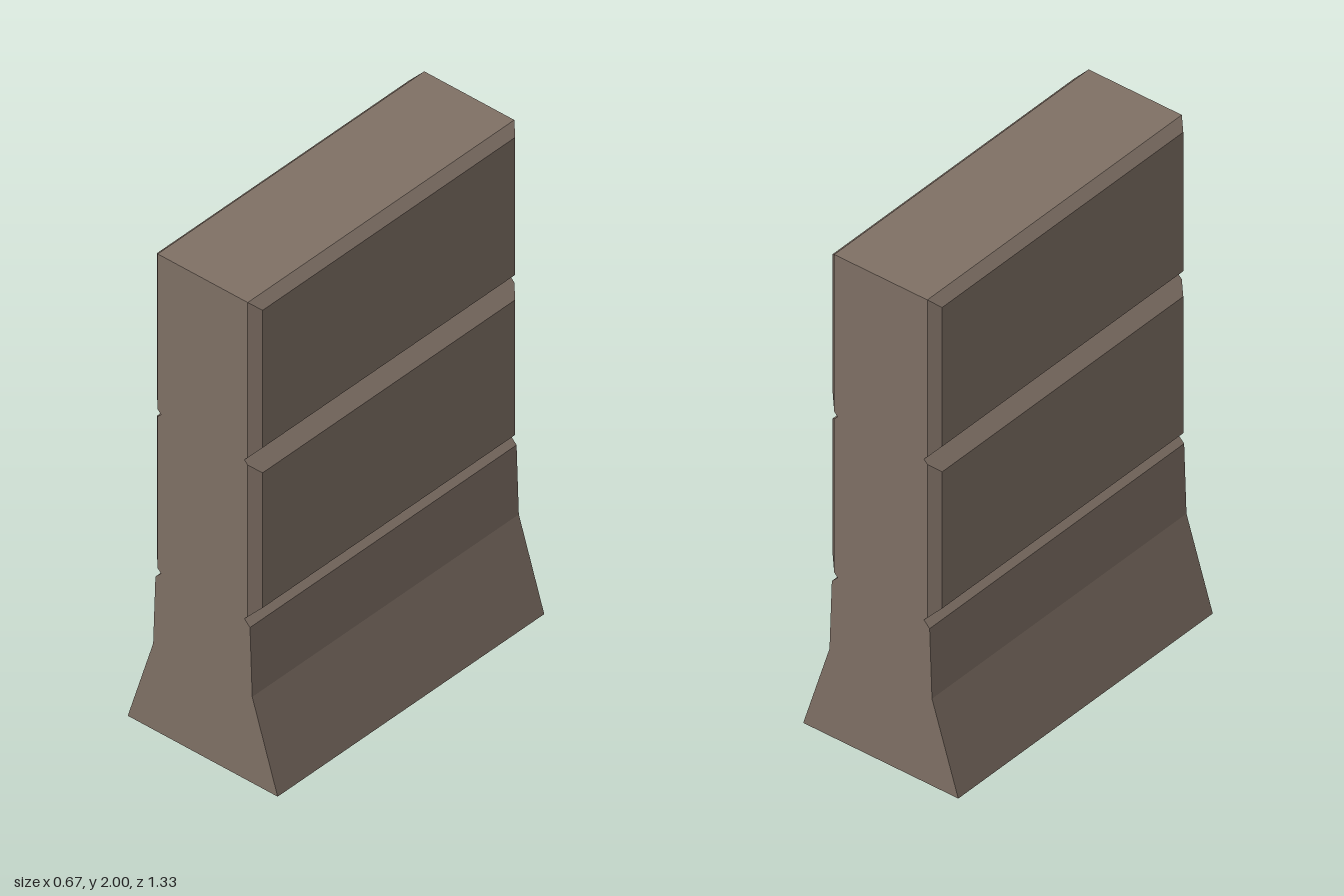
import * as THREE from 'three';

const END_Z = 0.667; // half length of the wall
const CORE = 0.2;    // half width of the end faces between the raised panels

// Half width of the wall at each height: [y, half width]
const PROFILE = [
  [0, 0.333], [0.36, 0.22], [0.645, 0.21],                                // flared foot
  [0.67, 0.185], [0.685, 0.2], [0.72, 0.235], [1.285, 0.235],             // lower panels
  [1.32, 0.2], [1.335, 0.185], [1.35, 0.2], [1.39, 0.235], [1.965, 0.235], // upper panels
  [2, 0.2],
];

// Eight-cornered cross-section; raised panels are chamfered at both ends
function ring([y, w]) {
  const isFoot = y < 0.67;
  const e = isFoot ? w : Math.min(w, CORE);
  const z = END_Z - (w - e);
  return [
    [w, z], [w, -z], [e, -END_Z], [-e, -END_Z],
    [-w, -z], [-w, z], [-e, END_Z], [e, END_Z],
  ].map(([px, pz]) => new THREE.Vector3(px, y, pz));
}

// Joins the cross-sections into flat faces, dropping any that collapse
function loft(rings, capTop) {
  const points = [];
  const addTriangle = (a, b, c) => {
    if (new THREE.Triangle(a, b, c).getArea() > 1e-7) points.push(a, b, c);
  };
  for (let r = 0; r < rings.length - 1; r++) {
    const low = rings[r], high = rings[r + 1];
    for (let i = 0; i < low.length; i++) {
      const j = (i + 1) % low.length;
      addTriangle(low[i], low[j], high[j]);
      addTriangle(low[i], high[j], high[i]);
    }
  }
  if (capTop) {
    const top = rings[rings.length - 1];
    for (let i = 1; i < top.length - 1; i++) addTriangle(top[0], top[i], top[i + 1]);
  }
  const geometry = new THREE.BufferGeometry().setFromPoints(points);
  geometry.computeVertexNormals();
  return geometry;
}

export function createModel() {
  const model = new THREE.Group();
  model.name = 'barrierWall';

  // The shell is open underneath, so its inside shows too
  const concrete = new THREE.MeshStandardMaterial({ color: 0x7f7065, side: THREE.DoubleSide });
  concrete.name = 'brownConcrete';

  const rings = PROFILE.map(ring);
  const addPart = (name, from, to, capTop = false) => {
    const mesh = new THREE.Mesh(loft(rings.slice(from, to + 1), capTop), concrete);
    mesh.name = name;
    model.add(mesh);
  };

  addPart('flaredFoot', 0, 3);
  addPart('lowerPanels', 3, 8);
  addPart('upperPanels', 8, 12, true);

  return model;
}
